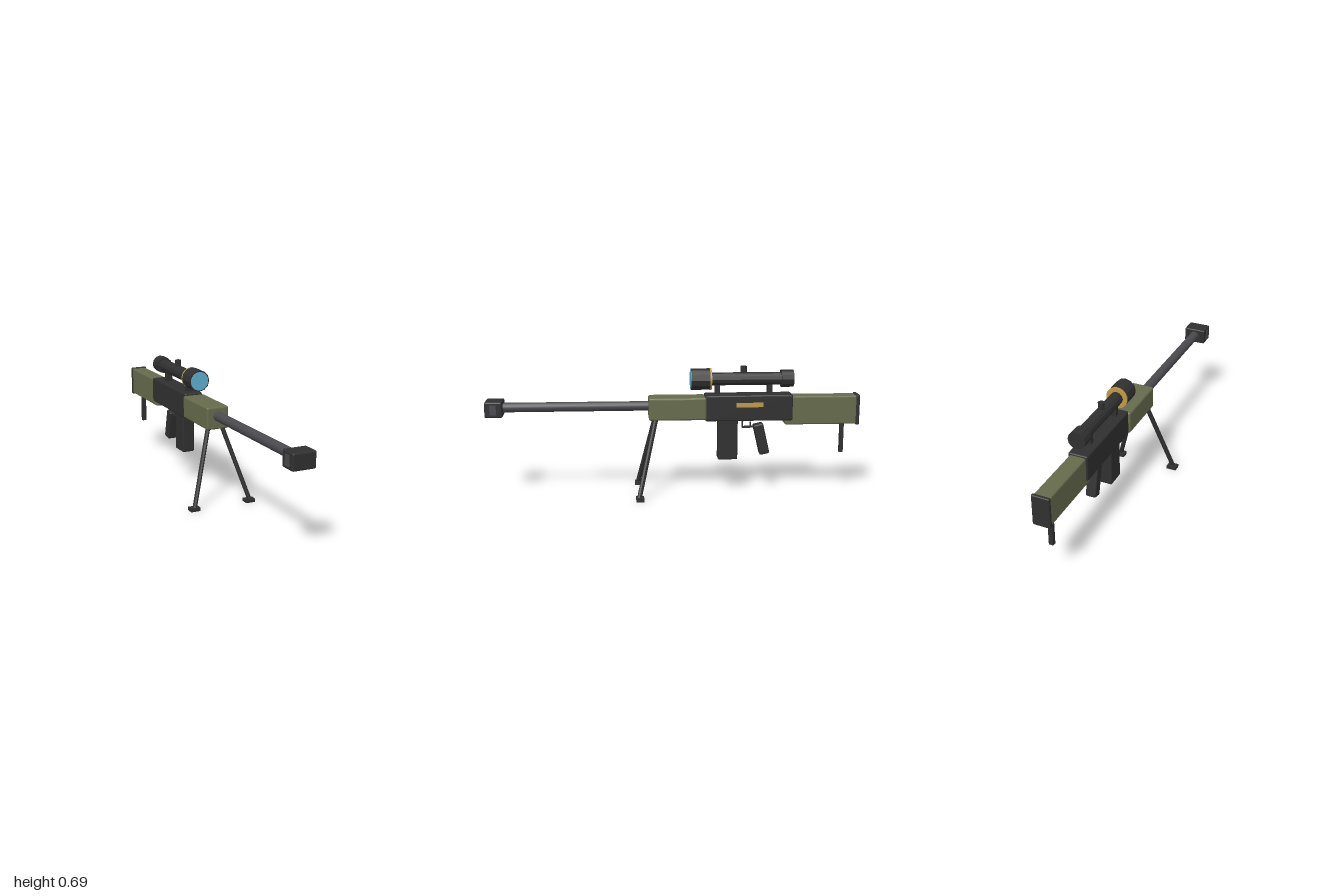
import * as THREE from 'three';
import { RoundedBoxGeometry } from 'three/addons/geometries/RoundedBoxGeometry.js';

const paint = (name, color, flatShading = false) => {
  const m = new THREE.MeshStandardMaterial({ color });
  m.name = name;
  m.flatShading = flatShading;
  return m;
};

export function createModel() {
  const black = paint('black', 0x303031, true);
  const olive = paint('olive', 0x666b4c, true);
  const steel = paint('steel', 0x4a4a4f);
  const gold = paint('gold', 0xc09a45);
  const glass = paint('glass', 0x5cb0d0);

  const model = new THREE.Group();
  const add = (name, geometry, material, x = 0, y = 0, z = 0) => {
    const mesh = new THREE.Mesh(geometry, material);
    mesh.name = name;
    mesh.position.set(x, y, z);
    model.add(mesh);
    return mesh;
  };
  // Box given by half width, y range and z range, centred on x
  const block = (name, material, hw, y0, y1, z0, z1, r = 0, x = 0) => {
    const size = [2 * hw, y1 - y0, z1 - z0];
    const g = r ? new RoundedBoxGeometry(...size, 2, r) : new THREE.BoxGeometry(...size);
    return add(name, g, material, x, (y0 + y1) / 2, (z0 + z1) / 2);
  };
  // Cylinder along z
  const tube = (name, material, r, y, z0, z1, sides) => add(name,
    new THREE.CylinderGeometry(r, r, z1 - z0, sides).rotateX(Math.PI / 2), material, 0, y, (z0 + z1) / 2);

  // Barrel and muzzle brake
  tube('barrel', steel, 0.026, 0.48, 0.1, 0.92, 16);
  block('muzzleBrake', black, 0.062, 0.435, 0.52, 0.907, 1, 0.008);
  for (const s of [-1, 1]) block('muzzlePort', steel, 0.004, 0.451, 0.505, 0.938, 0.972, 0, s * 0.062);

  // Body
  block('handguard', olive, 0.062, 0.409, 0.53, -0.17, 0.137, 0.01);
  block('receiver', black, 0.052, 0.4, 0.54, -0.635, -0.165, 0.008);
  block('stock', olive, 0.043, 0.375, 0.53, -0.985, -0.595, 0.008);
  block('buttPlate', black, 0.047, 0.37, 0.535, -1, -0.98, 0.007);
  block('namePlate', gold, 0.004, 0.476, 0.5, -0.475, -0.33, 0, 0.052);
  block('rearMonopod', black, 0.012, 0.21, 0.385, -0.925, -0.905);

  // Magazine, grip and trigger
  block('magazine', black, 0.035, 0.184, 0.41, -0.342, -0.236, 0.008);
  const grip = add('grip', new RoundedBoxGeometry(0.056, 0.17, 0.054, 2, 0.008), black, 0, 0.292, -0.473);
  grip.rotation.x = 0.23;
  block('triggerGuardFront', black, 0.01, 0.354, 0.405, -0.374, -0.367);
  block('triggerGuardBottom', black, 0.01, 0.354, 0.361, -0.445, -0.367);
  block('trigger', black, 0.005, 0.36, 0.386, -0.418, -0.411);

  // Scope
  const sy = 0.622;
  tube('scopeTube', black, 0.035, sy, -0.59, -0.18, 12);
  tube('scopeFront', black, 0.058, sy, -0.19, -0.09, 12);
  tube('scopeRear', black, 0.047, sy, -0.64, -0.574, 12);
  tube('scopeRing', gold, 0.058, sy, -0.199, -0.19, 24);
  tube('lens', glass, 0.051, sy, -0.092, -0.087, 24);
  add('scopeTurret', new THREE.CylinderGeometry(0.017, 0.017, 0.05, 10), black, 0, 0.665, -0.373);
  for (const z of [-0.232, -0.515]) block('scopeMount', black, 0.018, 0.53, 0.6, z - 0.013, z + 0.013);

  // Bipod
  for (const s of [-1, 1]) {
    const top = new THREE.Vector3(s * 0.038, 0.42, 0.098);
    const foot = new THREE.Vector3(s * 0.162, 0.015, 0.193);
    const dir = top.clone().sub(foot);
    const leg = add('bipodLeg', new THREE.CylinderGeometry(0.0125, 0.0125, dir.length(), 8), black);
    leg.position.copy(top).add(foot).multiplyScalar(0.5);
    leg.quaternion.setFromUnitVectors(new THREE.Vector3(0, 1, 0), dir.normalize());
    block('bipodFoot', black, 0.027, 0, 0.018, 0.168, 0.21, 0, s * 0.162);
  }
  return model;
}
